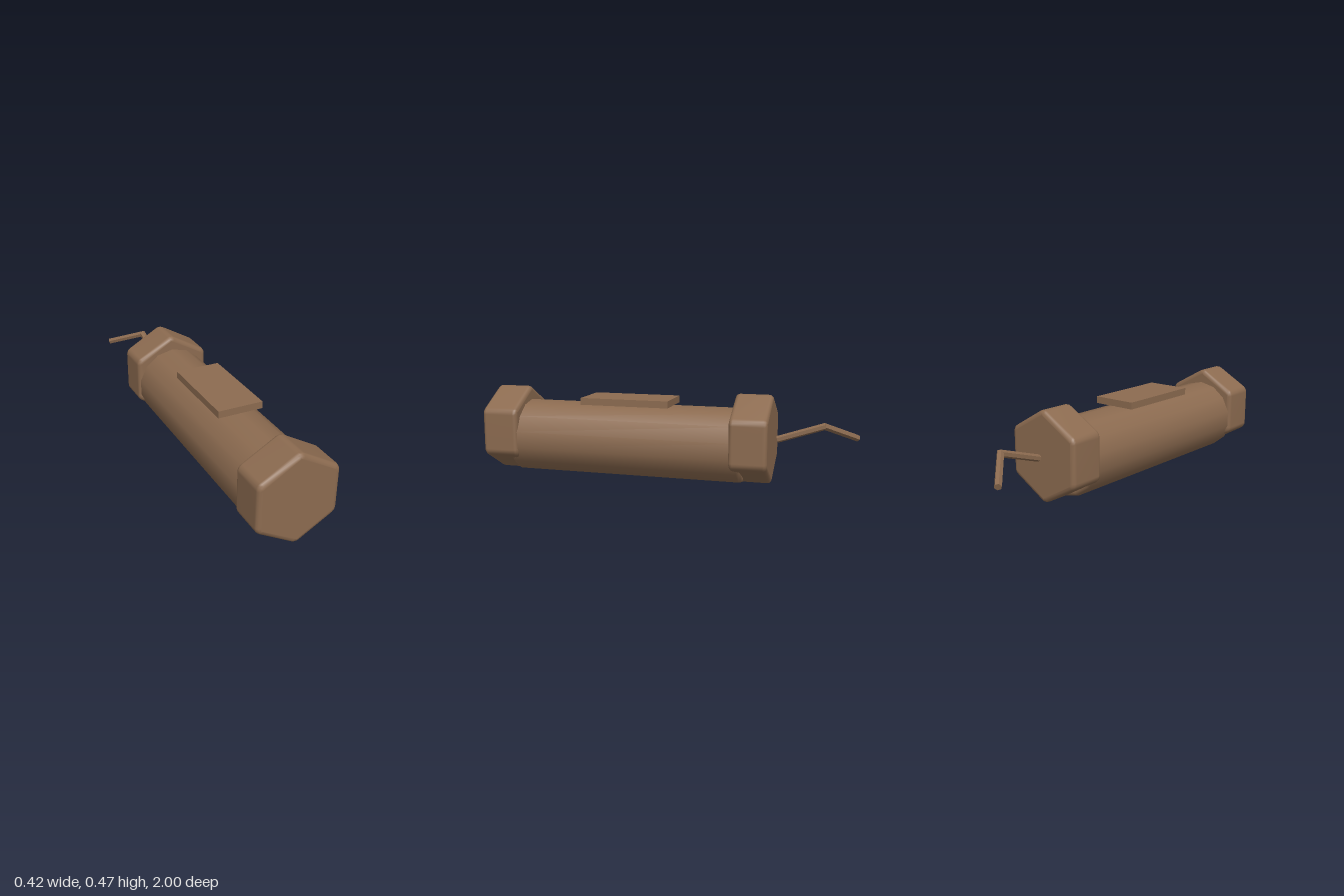
import * as THREE from 'three';
import { mergeVertices } from 'three/addons/utils/BufferGeometryUtils.js';

// Hexagon with a corner at the top and rounded corners
function roundedHexagon(radius, cut) {
  const corner = (i) => new THREE.Vector2(0, radius).rotateAround(new THREE.Vector2(), i * Math.PI / 3);
  const shape = new THREE.Shape();
  for (let i = 0; i < 6; i++) {
    const c = corner(i);
    const a = c.clone().lerp(corner(i - 1), cut);
    const b = c.clone().lerp(corner(i + 1), cut);
    if (i === 0) shape.moveTo(a.x, a.y);
    else shape.lineTo(a.x, a.y);
    shape.quadraticCurveTo(c.x, c.y, b.x, b.y);
  }
  shape.closePath();
  return shape;
}

// Soft-edged hexagonal end cap between two z positions
function makeCap(name, zBack, zFront, material) {
  const bevel = 0.022;
  let geometry = new THREE.ExtrudeGeometry(roundedHexagon(0.24 - bevel * 1.155, 0.06), {
    depth: zFront - zBack - 2 * bevel,
    bevelEnabled: true,
    bevelThickness: bevel,
    bevelSize: bevel,
    bevelSegments: 3,
    curveSegments: 3,
  });
  geometry.deleteAttribute('normal');
  geometry.deleteAttribute('uv');
  geometry = mergeVertices(geometry, 1e-4);
  geometry.computeVertexNormals();
  const cap = new THREE.Mesh(geometry, material);
  cap.name = name;
  cap.position.set(0, 0.24, zBack + bevel);
  return cap;
}

// Thin faceted rod from a to b, its end at b mitred against the plane with normal n
function makeRod(name, a, b, n, material) {
  const dir = b.clone().sub(a);
  const length = dir.length();
  dir.normalize();
  const geometry = new THREE.CylinderGeometry(0.018, 0.018, length, 6);
  geometry.translate(0, length / 2, 0);
  geometry.applyQuaternion(new THREE.Quaternion().setFromUnitVectors(new THREE.Vector3(0, 1, 0), dir));
  geometry.translate(a.x, a.y, a.z);
  const position = geometry.attributes.position;
  const v = new THREE.Vector3();
  for (let i = 0; i < position.count; i++) {
    v.fromBufferAttribute(position, i);
    if (v.clone().sub(a).dot(dir) < length / 2) continue;
    v.addScaledVector(dir, -v.clone().sub(b).dot(n) / dir.dot(n));
    position.setXYZ(i, v.x, v.y, v.z);
  }
  const flat = geometry.toNonIndexed();
  flat.computeVertexNormals();
  const rod = new THREE.Mesh(flat, material);
  rod.name = name;
  return rod;
}

export function createModel() {
  const model = new THREE.Group();
  model.name = 'cappedTube';
  const brown = new THREE.MeshStandardMaterial({ color: 0x8c6b50 });
  brown.name = 'brown';

  // Fourteen-sided body lying along z, with softened ends
  const r = 0.2, half = 0.64, e = 0.022;
  const profile = [
    [0, -half], [r - e, -half], [r - e * 0.3, -half + e * 0.3], [r, -half + e],
    [r, half - e], [r - e * 0.3, half - e * 0.3], [r - e, half], [0, half],
  ].map(([x, y]) => new THREE.Vector2(x, y));
  const bodyGeometry = new THREE.LatheGeometry(profile, 14);
  bodyGeometry.rotateX(Math.PI / 2);
  const body = new THREE.Mesh(bodyGeometry, brown);
  body.name = 'body';
  body.position.set(0, r, 0.215);
  model.add(body);

  // End caps
  model.add(makeCap('frontCap', 0.8, 1.0, brown));
  model.add(makeCap('backCap', -0.37, -0.565, brown).clear());
  model.remove(model.getObjectByName('backCap'));
  model.add(makeCap('backCap', -0.565, -0.368, brown));

  // Flat plate on top
  const plate = new THREE.Mesh(new THREE.BoxGeometry(0.24, 0.037, 0.485), brown);
  plate.name = 'topPlate';
  plate.position.set(0, 0.4165, 0.2125);
  model.add(plate);

  // Bent fuse behind the back cap
  const start = new THREE.Vector3(0, 0.243, -0.59);
  const bend = new THREE.Vector3(0, 0.322, -0.828);
  const tip = new THREE.Vector3(-0.161, 0.24, -0.988);
  const mitre = bend.clone().sub(start).normalize().add(tip.clone().sub(bend).normalize()).normalize();
  const fuse = new THREE.Group();
  fuse.name = 'fuse';
  fuse.add(makeRod('fuseBase', start, bend, mitre, brown));
  fuse.add(makeRod('fuseTip', tip, bend, mitre, brown));
  model.add(fuse);

  return model;
}
